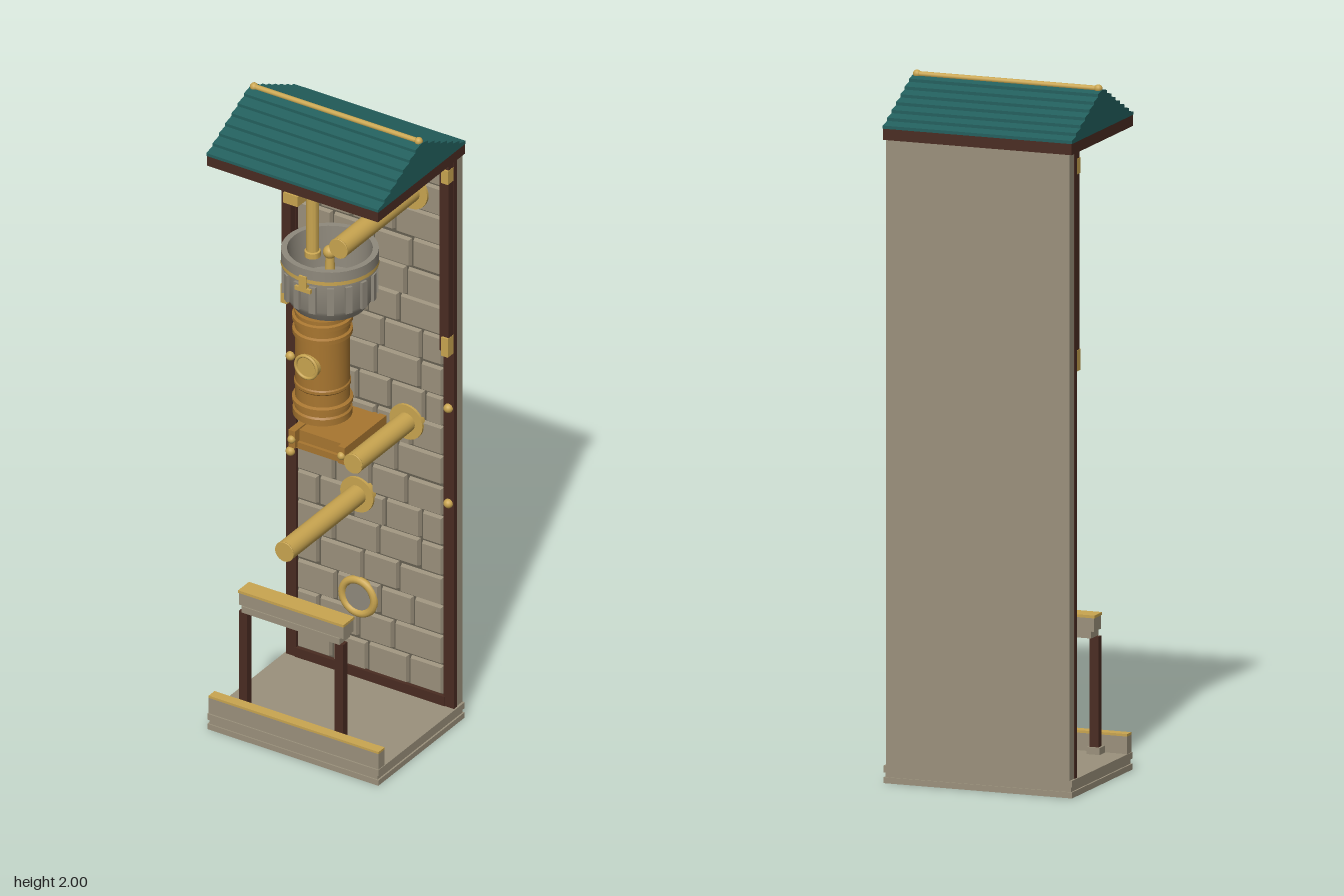
import * as THREE from 'three';
import { toCreasedNormals, mergeGeometries } from 'three/addons/utils/BufferGeometryUtils.js';

const mat = (name, color) => new THREE.MeshStandardMaterial({ name, color });

export function createModel() {
  const stone = mat('warm stone', 0x9b917c);
  const mortar = mat('dark mortar', 0x666052);
  const iron = mat('grey iron', 0x8f897c);
  const wood = mat('dark wood', 0x4a2c22);
  const brass = mat('brass', 0xc9a550);
  const bronze = mat('bronze', 0xa87630);
  const teal = mat('teal roof', 0x23605e);
  const model = new THREE.Group();
  model.name = 'wallTower';

  const add = (name, geo, material, x = 0, y = 0, z = 0) => {
    const m = new THREE.Mesh(geo, material);
    m.name = name;
    m.position.set(x, y, z);
    model.add(m);
    return m;
  };
  // Box given by its minimum and maximum corners
  const box = (name, material, x0, x1, y0, y1, z0, z1) =>
    add(name, new THREE.BoxGeometry(x1 - x0, y1 - y0, z1 - z0), material,
      (x0 + x1) / 2, (y0 + y1) / 2, (z0 + z1) / 2);
  const lathe = (name, material, pts, x, z, seg = 32) =>
    add(name, toCreasedNormals(new THREE.LatheGeometry(pts.map(p => new THREE.Vector2(...p)), seg), 0.6), material, x, 0, z);
  const ball = (name, material, r, x, y, z) => add(name, new THREE.SphereGeometry(r, 16, 10), material, x, y, z);
  // Cylinder along z from z0 to z1
  const rod = (name, material, r, x, y, z0, z1) => {
    const m = add(name, new THREE.CylinderGeometry(r, r, z1 - z0, 24), material, x, y, (z0 + z1) / 2);
    m.rotation.x = Math.PI / 2;
    return m;
  };

  // Stepped base
  box('baseSlab', stone, -0.285, 0.285, 0.005, 0.022, -0.222, 0.222);
  box('baseMiddle', stone, -0.28, 0.28, 0.022, 0.036, -0.218, 0.218);
  box('baseTop', stone, -0.285, 0.285, 0.036, 0.055, -0.222, 0.222);
  box('frontCurb', stone, -0.283, 0.283, 0.055, 0.105, 0.187, 0.218);
  box('curbCap', brass, -0.283, 0.283, 0.105, 0.112, 0.187, 0.218);

  // Back wall with a mortar face
  box('backWall', stone, -0.278, 0.278, 0.055, 1.84, -0.222, -0.187);
  box('mortarFace', mortar, -0.26, 0.26, 0.055, 1.84, -0.187, -0.184);

  // Bevelled stones in staggered, uneven courses
  let seed = 7;
  const rnd = () => (seed = (seed * 16807) % 2147483647) / 2147483647;
  const brick = (x0, x1, y0, y1) => {
    const w = x1 - x0, h = y1 - y0, g = new THREE.BoxGeometry(w, h, 0.014);
    const p = g.attributes.position;
    for (let i = 0; i < p.count; i++) {
      if (p.getZ(i) > 0) p.setXY(i, p.getX(i) * (1 - 0.008 / w), p.getY(i) * (1 - 0.008 / h));
    }
    g.translate((x0 + x1) / 2, (y0 + y1) / 2, -0.178);
    g.computeVertexNormals();
    return g;
  };
  const bricks = [], rows = 18, left = -0.246, right = 0.246, rowH = (1.835 - 0.085) / rows;
  for (let r = 0; r < rows; r++) {
    const y = 0.085 + r * rowH;
    let x = left;
    let w = r % 2 ? 0.065 + rnd() * 0.02 : 0.12 + rnd() * 0.02;
    while (x < right - 0.01) {
      let end = Math.min(x + w, right);
      if (right - end < 0.045) end = right;
      const lift = (rnd() - 0.5) * 0.006;
      bricks.push(brick(x + 0.004, end - 0.004, y + 0.004 + lift, y + rowH - 0.004 + lift));
      x = end;
      w = 0.105 + rnd() * 0.045;
    }
  }
  add('wallStones', mergeGeometries(bricks), stone);

  // Timber frame with brass fittings
  box('bottomRail', wood, -0.25, 0.25, 0.055, 0.085, -0.187, -0.172);
  box('topRail', wood, -0.25, 0.25, 1.825, 1.845, -0.187, -0.165);
  for (const s of [-1, 1]) {
    const x = s * 0.263;
    box('cornerPost', wood, x - 0.017, x + 0.017, 0.055, 1.84, -0.19, -0.174);
    box('upperPost', wood, x - 0.015, x + 0.015, 1.225, 1.84, -0.186, -0.15);
    for (const [y, h] of [[1.797, 0.022], [1.243, 0.03]])
      box('postClasp', brass, s * 0.268 - 0.011, s * 0.268 + 0.011, y - h, y + h, -0.175, -0.144);
    for (const y of [1.03, 0.72]) ball('postStud', brass, 0.014, x, y, -0.172);
  }

  // Roof: eaves frame, stepped plank slopes and ridge pole
  for (const s of [-1, 1]) {
    box('eavesBeam', wood, -0.285, 0.285, 1.84, 1.874, s * 0.21 - 0.014, s * 0.21 + 0.014);
    box('gableBeam', wood, s * 0.271 - 0.014, s * 0.271 + 0.014, 1.84, 1.874, -0.2, 0.2);
  }
  const n = 7, half = [];
  for (let i = 0; i < n; i++) {
    const z = 0.225 * (1 - i / n), y = 1.872 + i * 0.0163;
    half.push([z, y], [z, y + 0.009]);
  }
  const outline = [...half, [0, 1.986], ...half.slice().reverse().map(([z, y]) => [-z, y])];
  const roof = new THREE.ExtrudeGeometry(new THREE.Shape(outline.map(p => new THREE.Vector2(...p))),
    { depth: 0.572, bevelEnabled: false });
  roof.translate(0, 0, -0.286);
  roof.rotateY(Math.PI / 2);
  add('plankRoof', roof, teal);
  add('ridgePole', new THREE.CylinderGeometry(0.008, 0.008, 0.56, 16), brass, 0, 1.988, -0.002).rotation.z = Math.PI / 2;
  for (const s of [-1, 1]) ball('ridgeKnob', brass, 0.012, s * 0.274, 1.988, -0.002);

  // Wall pipes with flanges
  for (const [x, y, z] of [[0.143, 1.7, 0.21], [0.127, 0.945, 0.11], [-0.037, 0.655, 0.21]]) {
    rod('wallPipe', brass, 0.03, x, y, -0.18, z);
    rod('pipeFlange', brass, 0.055, x, y, -0.18, -0.163);
    add('pipeLip', new THREE.TorusGeometry(0.028, 0.003, 8, 24), brass, x, y, z - 0.003);
  }
  // Round wall port
  add('portRing', new THREE.TorusGeometry(0.053, 0.012, 10, 32), brass, -0.037, 0.32, -0.172);
  rod('portDisc', iron, 0.046, -0.037, 0.32, -0.18, -0.169);

  // Filler spout hanging from the roof
  const cx = -0.03;
  box('spoutHanger', brass, cx - 0.016, cx + 0.016, 1.8, 1.845, 0.158, 0.182);
  box('spoutValve', brass, cx - 0.024, cx + 0.024, 1.777, 1.81, 0.125, 0.188);
  rod('spoutArm', brass, 0.013, cx, 1.785, 0.07, 0.13);
  lathe('spoutPipe', brass, [[0, 1.555], [0.023, 1.555], [0.023, 1.572], [0.018, 1.574], [0.018, 1.795], [0, 1.8]], cx, 0.074, 20);

  // Open iron hopper with ribs and a brass band
  const hx = -0.037, hz = -0.026;
  lathe('hopperBowl', iron, [[0, 1.345], [0.088, 1.345], [0.105, 1.352], [0.12, 1.375], [0.128, 1.39], [0.128, 1.475],
    [0.137, 1.48], [0.137, 1.528], [0.12, 1.528], [0.114, 1.4], [0, 1.39]], hx, hz, 40);
  const band = new THREE.CylinderGeometry(0.139, 0.139, 0.012, 40, 1, true);
  add('hopperBand', band, brass, hx, 1.492, hz);
  for (let i = 0; i < 16; i++) {
    const a = (i + 0.5) / 16 * Math.PI * 2;
    const rib = add('hopperRib', new THREE.BoxGeometry(0.02, 0.085, 0.014), iron,
      hx + Math.sin(a) * 0.129, 1.43, hz + Math.cos(a) * 0.129);
    rib.rotation.y = a;
  }
  add('hopperSpindle', new THREE.CylinderGeometry(0.012, 0.018, 0.13, 16), brass, hx, 1.45, hz);
  ball('spindleKnob', brass, 0.02, hx, 1.515, hz);
  box('hopperLatch', brass, hx - 0.026, hx + 0.026, 1.455, 1.468, 0.095, 0.116);
  box('latchPlate', brass, hx - 0.012, hx + 0.012, 1.468, 1.505, 0.1, 0.116);

  // Bronze barrel with rolled bands and a round gauge
  lathe('barrel', bronze, [[0, 1.015], [0.084, 1.015], [0.084, 1.035], [0.079, 1.04], [0.079, 1.055], [0.086, 1.058],
    [0.086, 1.068], [0.077, 1.072], [0.077, 1.11], [0.08, 1.114], [0.08, 1.122], [0.077, 1.126], [0.077, 1.275], [0.085, 1.279], [0.085, 1.292], [0.078, 1.296],
    [0.078, 1.318], [0.086, 1.322], [0.086, 1.335], [0.078, 1.338], [0.078, 1.35], [0, 1.35]], hx, 0.012);
  rod('gauge', brass, 0.038, hx, 1.2, 0.06, 0.096);
  add('gaugeRim', new THREE.TorusGeometry(0.035, 0.005, 8, 28), brass, hx, 1.2, 0.096);

  // Bracket under the barrel
  box('bracketShelf', bronze, -0.118, 0.044, 0.9, 0.935, -0.176, 0.02);
  box('bracketFoot', bronze, -0.118, 0.044, 0.88, 0.9, -0.176, 0.03);
  for (const s of [-1, 1]) {
    const x = hx + s * 0.083;
    box('bracketArm', bronze, x - 0.011, x + 0.011, 0.885, 0.94, -0.176, 0.043);
    ball('bracketStud', brass, 0.012, x, 0.912, 0.043);
  }

  // Standing rail at the front
  box('railBeam', stone, -0.21, 0.137, 0.41, 0.449, 0.122, 0.174);
  box('railCap', brass, -0.212, 0.139, 0.449, 0.457, 0.12, 0.176);
  box('railMoulding', stone, -0.2, 0.127, 0.39, 0.41, 0.124, 0.178);
  for (const x of [-0.197, 0.122]) {
    box('railLeg', wood, x - 0.014, x + 0.014, 0.055, 0.39, 0.152, 0.174);
    box('railLegFoot', stone, x - 0.02, x + 0.02, 0.055, 0.075, 0.145, 0.184);
  }
  return model;
}
